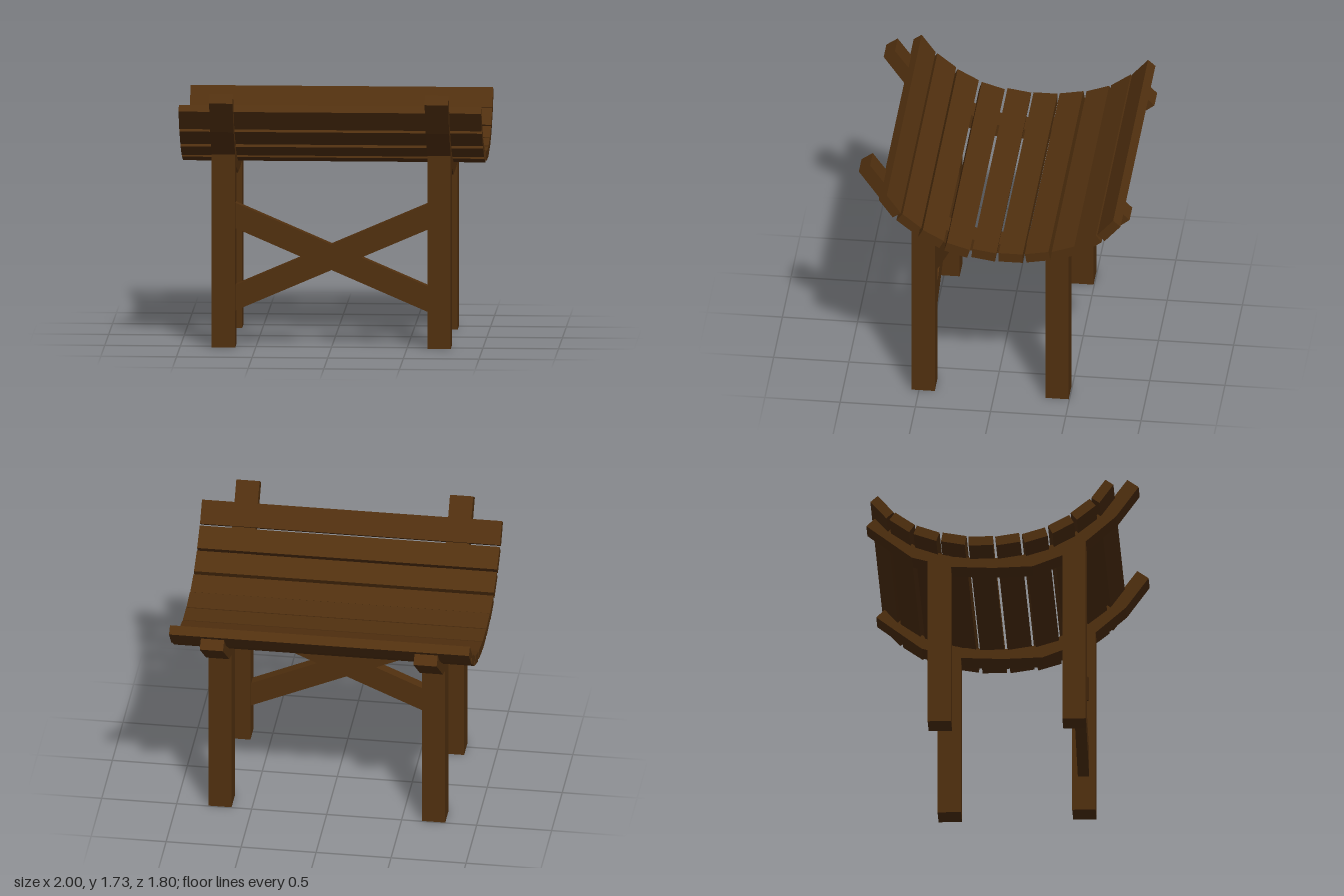
import * as THREE from 'three';

// Polygon pushed along its normal from -depth/2 to depth/2
function slab(points, depth) {
  const shape = new THREE.Shape(points.map(([u, v]) => new THREE.Vector2(u, v)));
  const geo = new THREE.ExtrudeGeometry(shape, { depth, bevelEnabled: false });
  return geo.translate(0, 0, -depth / 2);
}

export function createModel() {
  const model = new THREE.Group();
  model.name = 'slattedBench';
  const wood = new THREE.MeshStandardMaterial({ color: 0x51300f });
  wood.name = 'dark brown wood';

  const add = (name, geo, x = 0, y = 0, z = 0) => {
    const mesh = new THREE.Mesh(geo, wood);
    mesh.name = name;
    mesh.position.set(x, y, z);
    model.add(mesh);
    return mesh;
  };

  const legX = 0.7125, legW = 0.155;

  // Curved seat rails: [z, y] along the underside, then back along the top
  const under = [[0.9, 1.677], [0.75, 1.465], [0.55, 1.288], [0.395, 1.19], [0.2, 1.115],
    [-0.06, 1.108], [-0.34, 1.122], [-0.6, 1.195], [-0.9, 1.43]];
  const upper = [[-0.845, 1.483], [-0.57, 1.275], [-0.33, 1.195], [-0.06, 1.178], [0.18, 1.205],
    [0.36, 1.285], [0.505, 1.375], [0.68, 1.53], [0.825, 1.73]];
  const railGeo = slab([...under, ...upper], legW).rotateY(-Math.PI / 2);

  for (const side of [1, -1]) {
    const label = side > 0 ? 'left' : 'right';
    add(label + 'SeatRail', railGeo, side * legX);
    // Legs run up into the rail
    for (const [end, z, h] of [['Front', 0.4725, 1.3], ['Back', -0.4175, 1.18]]) {
      add(label + end + 'Leg', new THREE.BoxGeometry(legW, h, legW), side * legX, h / 2, z);
    }
    // Diagonal brace between the front legs
    const x = 0.637, low = 0.24, high = 0.79, tall = 0.17;
    const [a, b] = side > 0 ? [low, high] : [high, low];
    add(side > 0 ? 'risingBrace' : 'fallingBrace',
      slab([[-x, a], [x, b], [x, b + tall], [-x, a + tall]], 0.075), 0, 0, 0.47);
  }

  // Seat slats: front and back ends of each upper face, [z, y, z, y]
  const slats = [
    [0.69, 1.637, 0.597, 1.507], [0.585, 1.5, 0.46, 1.4], [0.45, 1.386, 0.31, 1.31],
    [0.29, 1.298, 0.137, 1.252], [0.12, 1.262, -0.04, 1.238], [-0.055, 1.242, -0.213, 1.242],
    [-0.228, 1.246, -0.385, 1.275], [-0.405, 1.275, -0.558, 1.33], [-0.57, 1.335, -0.7, 1.428],
    [-0.71, 1.43, -0.815, 1.55],
  ];
  const thick = 0.065;
  const slatGeo = new THREE.BoxGeometry(2, thick, 0.16).translate(0, -thick / 2, 0);
  slats.forEach(([z1, y1, z2, y2], i) => {
    const slat = add('seatSlat' + (i + 1), slatGeo, 0, (y1 + y2) / 2, (z1 + z2) / 2);
    slat.rotation.x = -Math.atan2(y1 - y2, z1 - z2);
  });

  return model;
}
